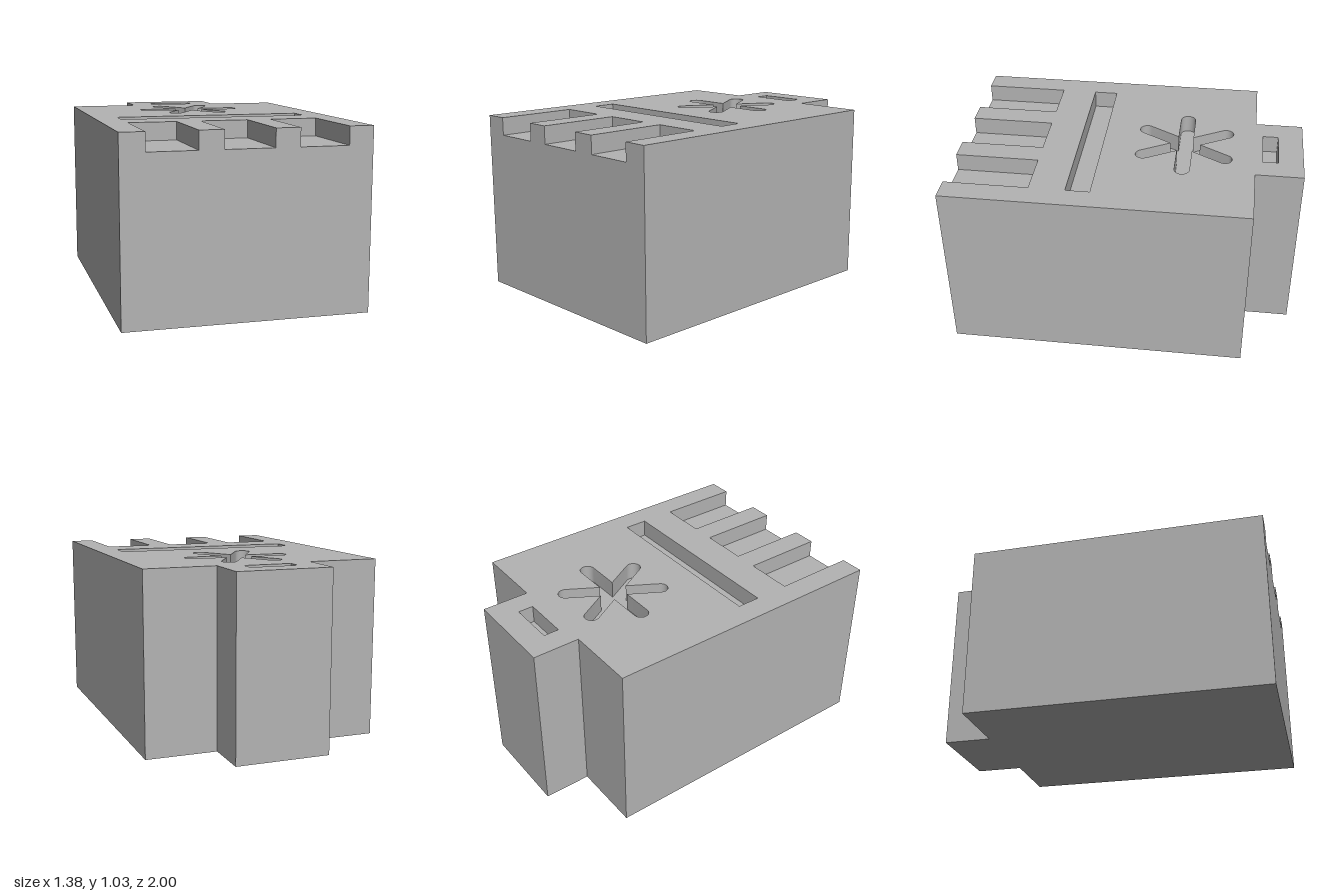
import * as THREE from 'three';
import { toCreasedNormals } from 'three/addons/utils/BufferGeometryUtils.js';

// One module of the plan grid; plan points are (x, -z), counter-clockwise
const U = 2 / 29;
const TOP = 15 * U;
const FLOOR = 13.5 * U;

const plan = (pairs) => pairs.map(([x, y]) => new THREE.Vector2(x * U, y * U));
const rect = (x0, y0, x1, y1) => plan([[x0, y0], [x1, y0], [x1, y1], [x0, y1]]);

// Six round-ended arms meeting at a centre
function starPlan(cx, cy, reach, half) {
  const pairs = [];
  for (let k = 0; k < 6; k++) {
    const a = k * Math.PI / 3;
    const tx = cx + (reach - half) * Math.cos(a), ty = cy + (reach - half) * Math.sin(a);
    for (let i = 0; i <= 12; i++) {
      const b = a - Math.PI / 2 + i * Math.PI / 12;
      pairs.push([tx + half * Math.cos(b), ty + half * Math.sin(b)]);
    }
    const c = a + Math.PI / 6;
    pairs.push([cx + 2 * half * Math.cos(c), cy + 2 * half * Math.sin(c)]);
  }
  return plan(pairs);
}

// Flat horizontal face, looking up
function flat(points, y, holes = []) {
  const shape = new THREE.Shape(points);
  shape.holes = holes.map((h) => new THREE.Path(h));
  return new THREE.ShapeGeometry(shape).rotateX(-Math.PI / 2).translate(0, y, 0);
}

// Upright walls along a closed plan
function walls(points, y0, y1) {
  const pos = [];
  points.forEach((a, i) => {
    const b = points[(i + 1) % points.length];
    const q = [[a.x, y0, -a.y], [b.x, y0, -b.y], [b.x, y1, -b.y], [a.x, y1, -a.y]];
    for (const j of [0, 1, 2, 0, 2, 3]) pos.push(...q[j]);
  });
  const g = new THREE.BufferGeometry();
  g.setAttribute('position', new THREE.Float32BufferAttribute(pos, 3));
  return toCreasedNormals(g, 0.5);
}

export function createModel() {
  const group = new THREE.Group();
  const grey = new THREE.MeshStandardMaterial({ color: 0xb3b3b3 });
  grey.name = 'grey';
  const add = (name, geometry) => {
    const mesh = new THREE.Mesh(geometry, grey);
    mesh.name = name;
    group.add(mesh);
    return mesh;
  };

  // Block with a narrower tab at the back
  const back = [[10, -14.5], [10, 10.5], [4, 10.5], [4, 14.5], [-4, 14.5], [-4, 10.5], [-10, 10.5]];
  const outline = plan([[-10, -14.5], ...back]);
  add('bodyWalls', walls(outline, 0, FLOOR));
  const base = flat(outline, 0);
  base.rotateX(Math.PI); // turned over to look down
  base.scale(1, 1, 1);
  // Turning over mirrors z, so the plan is mirrored back with its winding restored
  const p = base.attributes.position;
  for (let i = 0; i < p.count; i++) p.setZ(i, -p.getZ(i));
  const idx = base.index.array;
  for (let i = 0; i < idx.length; i += 3) [idx[i], idx[i + 1]] = [idx[i + 1], idx[i]];
  base.computeVertexNormals();
  add('underside', base);

  // Three open notches along the front edge
  const notches = [-6, 0, 6];
  const front = notches.flatMap((c) => [[c - 2, -14.5], [c - 2, -7.5], [c + 2, -7.5], [c + 2, -14.5]]);
  const rim = plan([[-10, -14.5], ...front, ...back]);
  add('rimWalls', walls(rim, FLOOR, TOP));
  for (const c of notches) add('notchFloor', flat(rect(c - 2, -14.5, c + 2, -7.5), FLOOR));

  // Closed recesses sunk into the top
  const recesses = {
    barRecess: rect(-8, -4.5, 8, -2.5),
    tabRecess: rect(-2, 11.1, 2, 12.4),
    starRecess: starPlan(0, 4.5, 4.61, 0.63),
  };
  for (const [name, points] of Object.entries(recesses)) {
    add(name + 'Floor', flat(points, FLOOR));
    add(name + 'Walls', walls([...points].reverse(), FLOOR, TOP));
  }
  add('topFace', flat(rim, TOP, Object.values(recesses)));

  return group;
}
